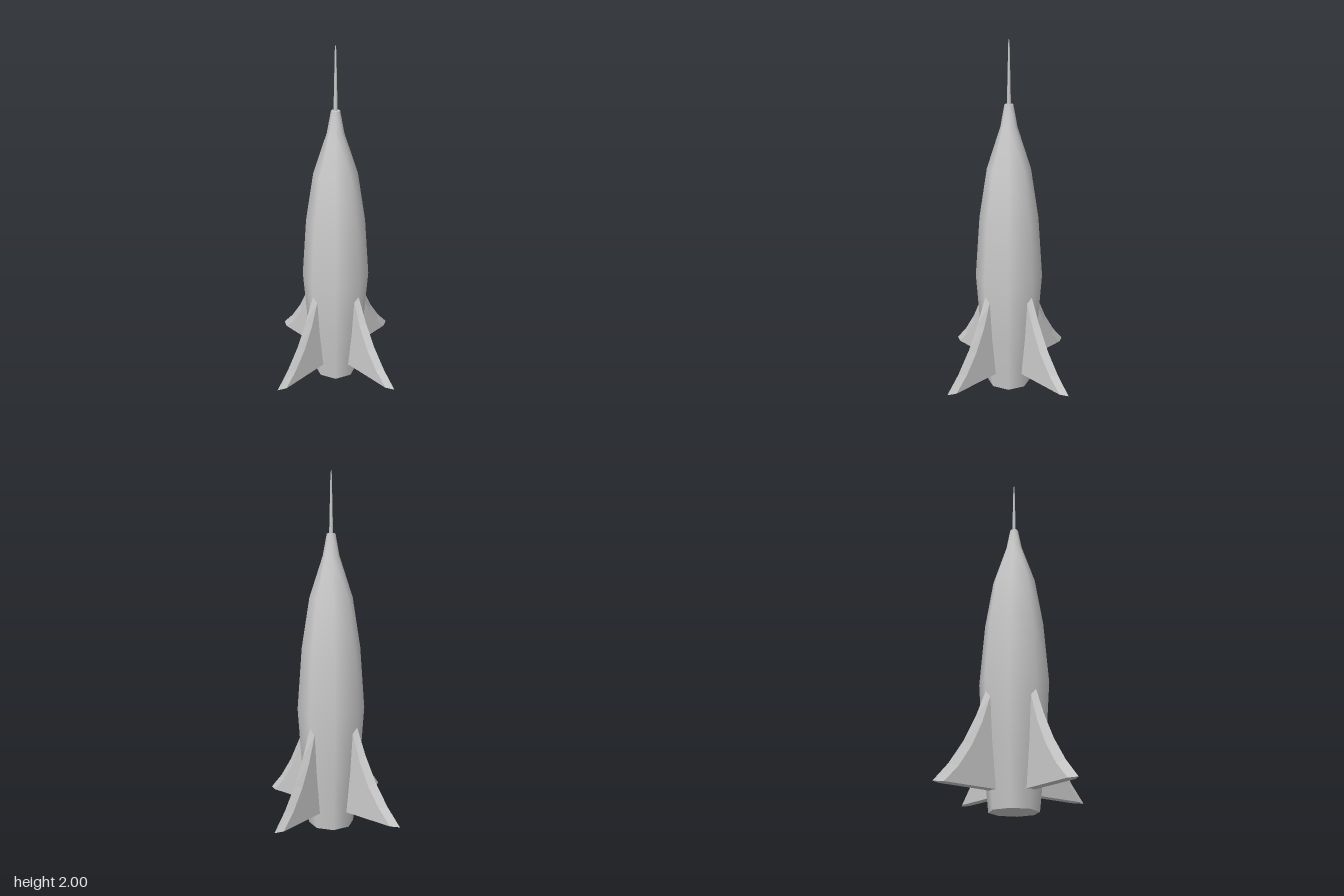
import * as THREE from 'three';

const SIDES = 8;
const grey = new THREE.MeshStandardMaterial({ color: 0xcccccc });
const greyFlat = new THREE.MeshStandardMaterial({ color: 0xcccccc, flatShading: true });

function lathe(name, profile) {
  const points = profile.map(([r, y]) => new THREE.Vector2(r, y));
  const mesh = new THREE.Mesh(new THREE.LatheGeometry(points, SIDES), grey);
  mesh.name = name;
  return mesh;
}

function disc(name, radius, y, facing) {
  // thetaStart keeps the corners on the x and z axes
  const mesh = new THREE.Mesh(new THREE.CircleGeometry(radius, SIDES), greyFlat);
  mesh.rotation.x = -facing * Math.PI / 2;
  mesh.position.y = y;
  mesh.name = name;
  return mesh;
}

// Fin pointing along +x: each section is root, shoulder, ridge, shoulder, root
function finGeometry() {
  const half = 0.024, root = 0.08;
  const ridge = [[0.15, 0.68], [0.185, 0.6], [0.245, 0.45], [0.315, 0.31], [0.395, 0.19], [0.478, 0.095]];
  const shoulder = [[0.13, 0.66], [0.175, 0.56], [0.22, 0.42], [0.28, 0.29], [0.352, 0.18], [0.43, 0.095]];
  const positions = [], index = [];
  ridge.forEach(([rx, ry], i) => {
    const [sx, sy] = shoulder[i];
    positions.push(root, sy, half, sx, sy, half, rx, ry, 0, sx, sy, -half, root, sy, -half);
  });
  const n = 5, last = (ridge.length - 1) * n;
  for (let i = 0; i < ridge.length - 1; i++) {
    for (let j = 0; j < n; j++) {
      const a = i * n + j, b = i * n + (j + 1) % n;
      index.push(a, a + n, b, b, a + n, b + n);
    }
  }
  // end caps
  for (let j = 1; j < n - 1; j++) {
    index.push(0, j, j + 1);
    index.push(last, last + j + 1, last + j);
  }
  const geometry = new THREE.BufferGeometry();
  geometry.setAttribute('position', new THREE.Float32BufferAttribute(positions, 3));
  geometry.setIndex(index);
  const flat = geometry.toNonIndexed();
  flat.computeVertexNormals();
  return flat;
}

export function createModel() {
  const rocket = new THREE.Group();
  rocket.name = 'rocket';

  // Hull with swollen middle and narrowing nose
  rocket.add(lathe('hull', [
    [0.13, 0], [0.167, 0.335], [0.191, 0.68], [0.165, 1.03],
    [0.121, 1.31], [0.046, 1.54], [0.024, 1.66],
  ]));
  rocket.add(disc('hullBase', 0.13, 0, -1));
  rocket.add(disc('noseCap', 0.024, 1.66, 1));

  // Needle on the nose
  rocket.add(lathe('noseNeedle', [[0.011, 1.655], [0.004, 1.97], [0, 2]]));

  // Four swept tail fins
  const fin = finGeometry();
  for (let i = 0; i < 4; i++) {
    const mesh = new THREE.Mesh(fin, greyFlat);
    mesh.rotation.y = i * Math.PI / 2;
    mesh.name = 'tailFin' + (i + 1);
    rocket.add(mesh);
  }
  return rocket;
}
